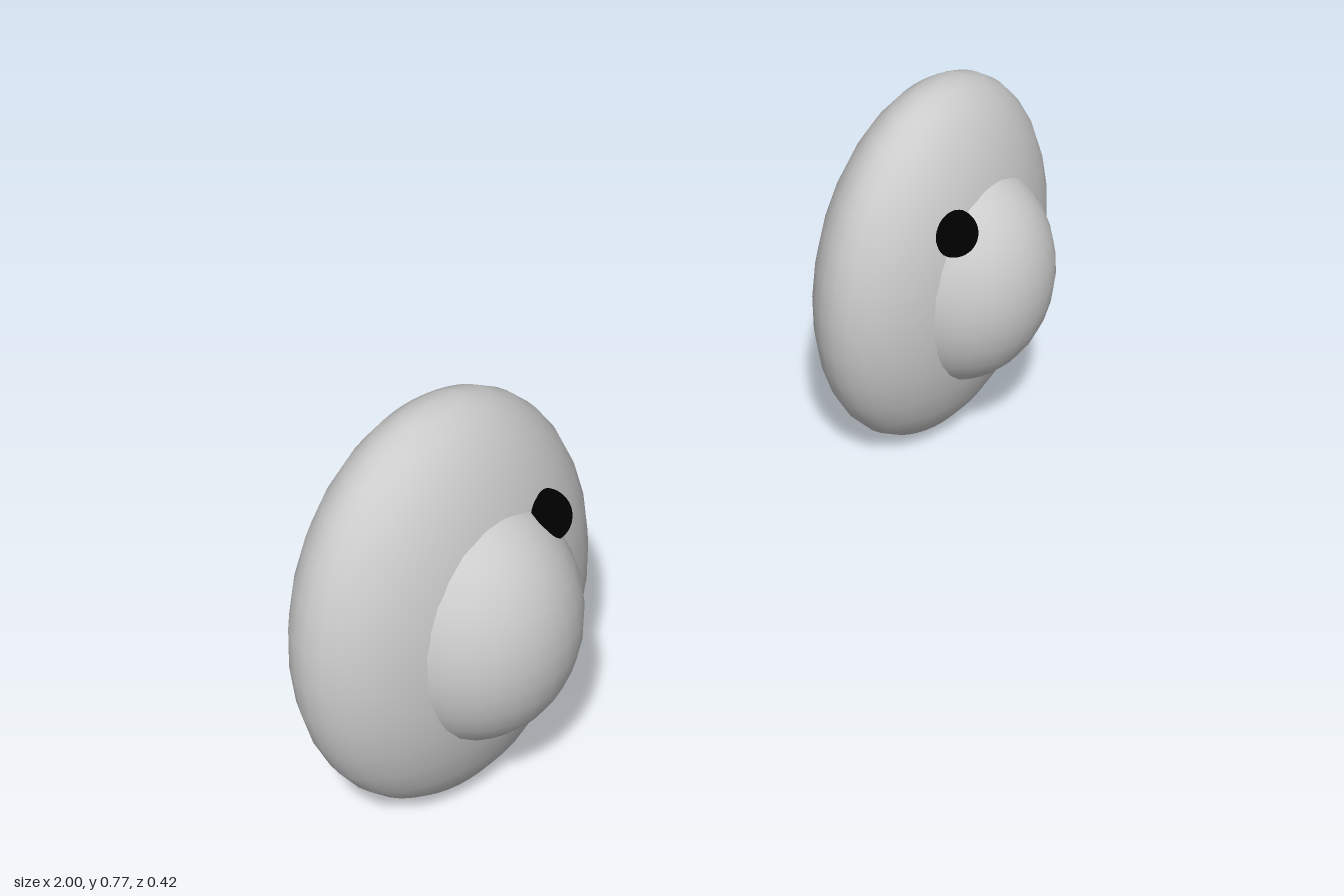
import * as THREE from 'three';

const grey = new THREE.MeshStandardMaterial({ color: 0xcccccc });
const black = new THREE.MeshStandardMaterial({ color: 0x000000 });

// Smooth ellipsoid with the given centre and radii
function ellipsoid(name, material, centre, radii) {
  const geometry = new THREE.SphereGeometry(1, 32, 16).scale(...radii);
  const mesh = new THREE.Mesh(geometry, material);
  mesh.name = name;
  mesh.position.set(...centre);
  return mesh;
}

export function createModel() {
  const model = new THREE.Group();
  model.name = 'eyes';

  // One eye per side, mirrored across x
  for (const [side, s] of [['left', 1], ['right', -1]]) {
    const eye = new THREE.Group();
    eye.name = side + 'Eye';
    eye.position.set(0.685 * s, 0.388, 0);
    eye.add(
      ellipsoid('eyeball', grey, [0, 0, -0.045], [0.315, 0.387, 0.163]),
      ellipsoid('iris', grey, [0, 0, 0.018], [0.189, 0.232, 0.19]),
      // Small dark bead on the upper inner edge of the iris
      ellipsoid('bead', black, [-0.117 * s, 0.16, 0.085], [0.046, 0.046, 0.046]),
    );
    model.add(eye);
  }
  return model;
}
